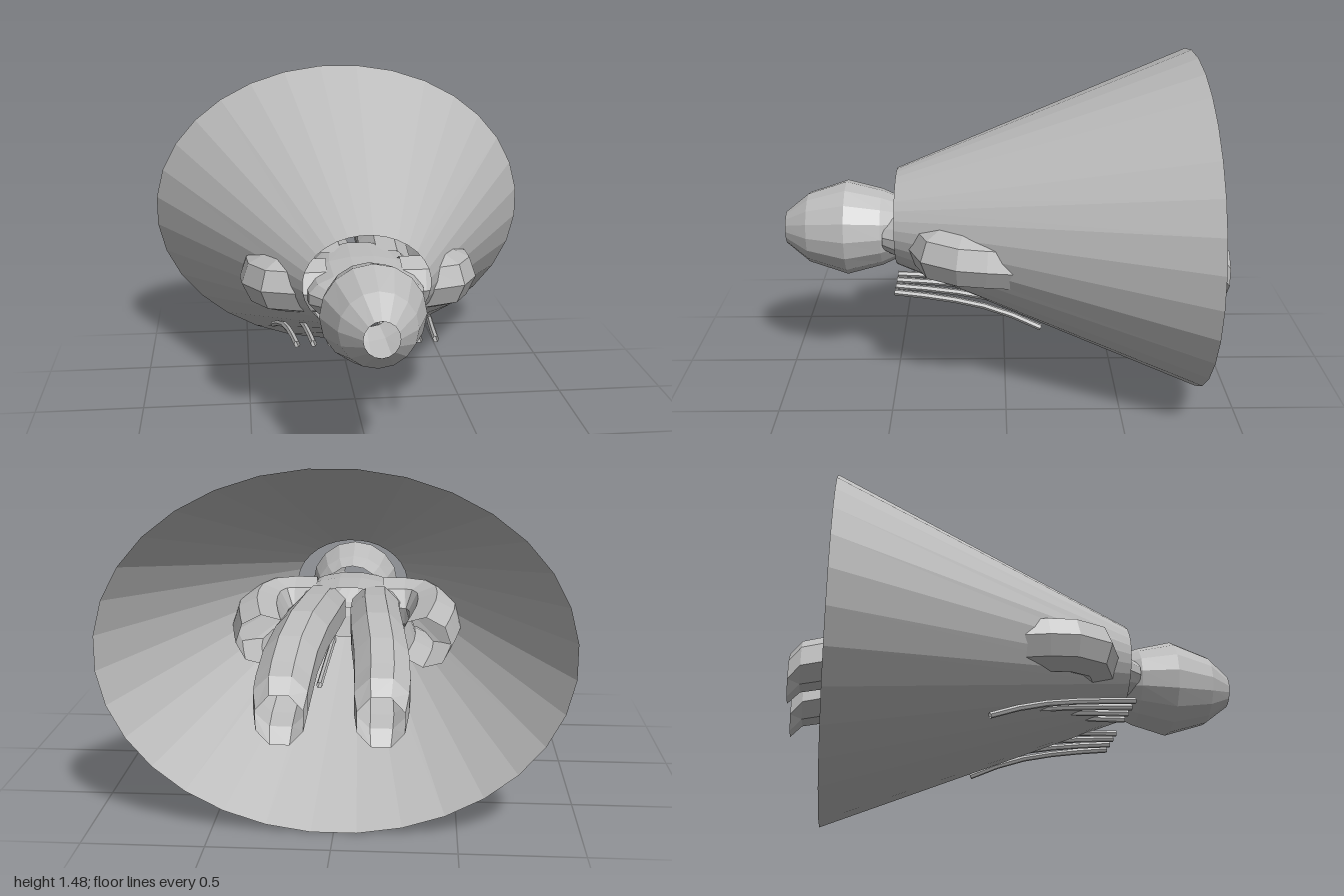
import * as THREE from 'three';

const grey = new THREE.MeshStandardMaterial({ color: 0xbcbcbc, flatShading: true, side: THREE.DoubleSide });
grey.name = 'plain grey';

// Open shell through rings [x, y, z, rx, ry], listed from front to back
function loft(name, rings, sides, phase = Math.PI / sides) {
  const geo = new THREE.CylinderGeometry(1, 1, 1, sides, rings.length - 1, true, phase);
  const pos = geo.attributes.position;
  for (let i = 0; i < pos.count; i++) {
    const [x, y, z, rx, ry] = rings[Math.floor(i / (sides + 1))];
    pos.setXYZ(i, x + rx * pos.getX(i), y - ry * pos.getZ(i), z);
  }
  geo.computeVertexNormals();
  const mesh = new THREE.Mesh(geo, grey);
  mesh.name = name;
  return mesh;
}

function tube(name, points, radius, segments, sides) {
  const curve = new THREE.CatmullRomCurve3(points.map(p => new THREE.Vector3(...p)));
  const mesh = new THREE.Mesh(new THREE.TubeGeometry(curve, segments, radius, sides), grey);
  mesh.name = name;
  return mesh;
}

export function createModel() {
  const model = new THREE.Group();
  model.name = 'coneFigure';

  // Wide oval cone, open at both ends
  model.add(loft('cone', [
    [0, 0.74, 0.49, 0.273, 0.215],
    [0, 0.745, -0.84, 0.954, 0.744],
  ], 32));

  // Rounded head with a hole in the nose
  model.add(loft('head', [
    [0, 0.685, 1.0, 0.072, 0.075],
    [0, 0.685, 0.895, 0.16, 0.16],
    [0, 0.685, 0.72, 0.22, 0.217],
    [0, 0.685, 0.56, 0.185, 0.175],
    [0, 0.685, 0.48, 0.14, 0.14],
  ], 16, 0));

  // Flat torso behind the head
  model.add(loft('torso', [
    [0, 0.68, 0.55, 0.19, 0.085],
    [0, 0.68, 0.48, 0.25, 0.115],
    [0, 0.69, 0.3, 0.26, 0.12],
    [0, 0.69, 0.08, 0.23, 0.12],
  ], 16));

  for (const side of [1, -1]) {
    const label = side > 0 ? 'left' : 'right';

    // Leg: diverges backwards and droops at its open end
    model.add(loft(label + 'Leg', [
      [side * 0.125, 0.685, 0.18, 0.118, 0.118],
      [side * 0.135, 0.71, -0.1, 0.12, 0.12],
      [side * 0.16, 0.72, -0.45, 0.12, 0.12],
      [side * 0.185, 0.68, -0.68, 0.12, 0.116],
      [side * 0.195, 0.625, -0.85, 0.119, 0.113],
      [side * 0.195, 0.6, -0.95, 0.115, 0.11],
      [side * 0.195, 0.54, -1.0, 0.1, 0.108],
    ], 8));

    // Arm: out through the cone, bent at the elbow, back inside
    model.add(tube(label + 'Arm', [
      [side * 0.16, 0.685, 0.31],
      [side * 0.32, 0.685, 0.305],
      [side * 0.395, 0.68, 0.22],
      [side * 0.405, 0.665, 0],
      [side * 0.36, 0.635, -0.22],
    ], 0.122, 7, 8));

    // Thin rods fanning out under the cone
    for (let i = 0; i < 4; i++) {
      const x = 0.085 + i * 0.071;
      const drop = 0.015 + i * 0.032;
      model.add(tube(label + 'Rod' + (i + 1), [
        [side * x, 0.483, 0.49],
        [side * (x + 0.005 + i * 0.005), 0.475 - drop * 0.15, 0.25],
        [side * (x + 0.012 + i * 0.012), 0.465 - drop * 0.45, 0.03],
        [side * (x + 0.02 + i * 0.02), 0.455 - drop, -0.26 + i * 0.035],
      ], 0.014, 5, 6));
    }
  }
  return model;
}
